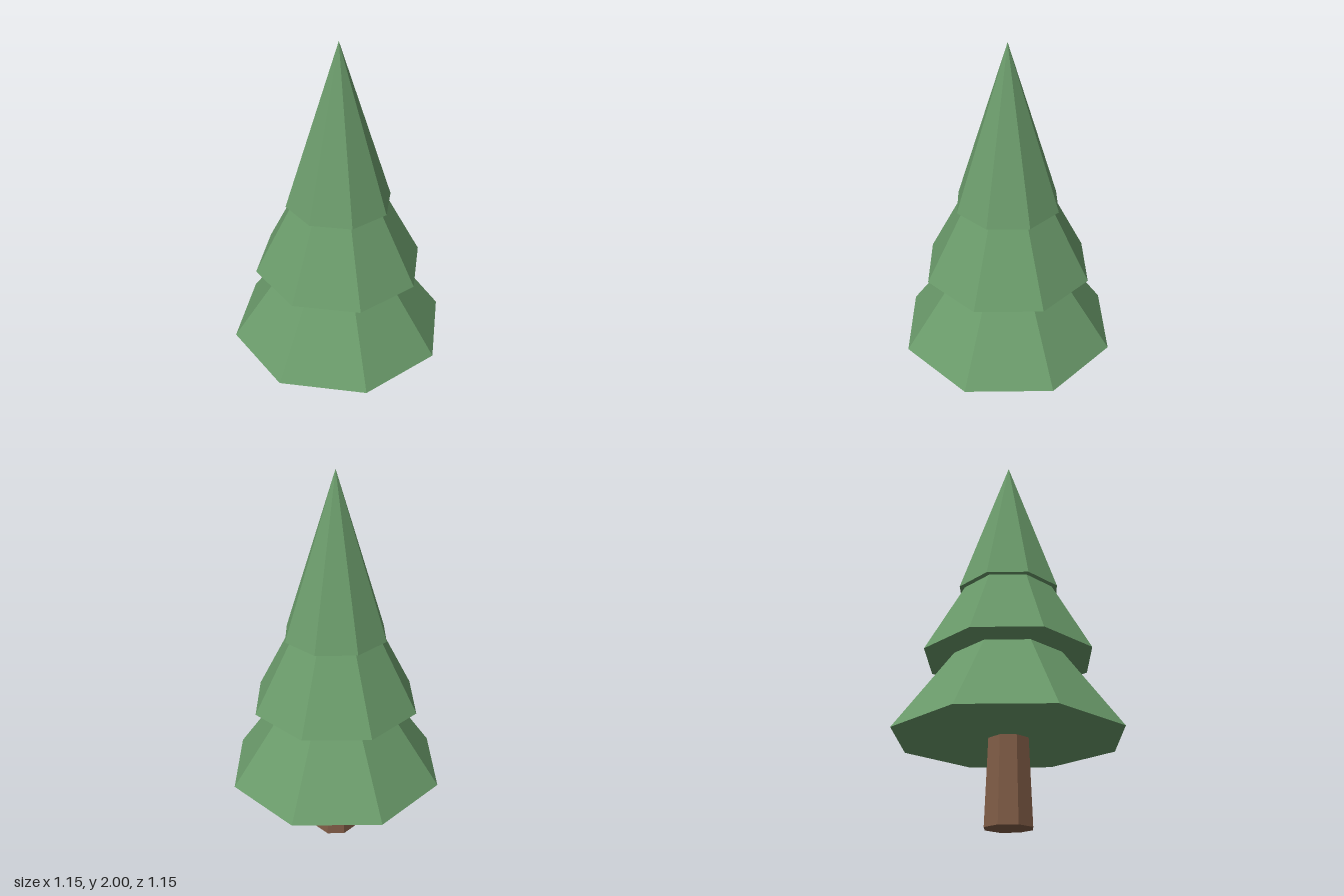
import * as THREE from 'three';

const SIDES = 8;

export function createModel() {
  const tree = new THREE.Group();
  tree.name = 'pineTree';

  const bark = new THREE.MeshStandardMaterial({ color: 0x805c46, flatShading: true });
  const needles = new THREE.MeshStandardMaterial({ color: 0x6a9a6a, flatShading: true });

  const add = (name, geometry, material, baseY) => {
    const mesh = new THREE.Mesh(geometry, material);
    mesh.name = name;
    mesh.position.y = baseY + geometry.parameters.height / 2;
    tree.add(mesh);
  };

  // Tapered trunk, its top hidden inside the lowest tier
  add('trunk', new THREE.CylinderGeometry(0.1, 0.12, 0.49, SIDES), bark, 0);

  // Overlapping foliage cones, from bottom to top
  const tiers = [
    { name: 'lowerFoliage', radius: 0.573, baseY: 0.413, height: 0.81 },
    { name: 'middleFoliage', radius: 0.437, baseY: 0.82, height: 0.82 },
    { name: 'topFoliage', radius: 0.268, baseY: 1.19, height: 0.81 },
  ];
  for (const { name, radius, baseY, height } of tiers) {
    add(name, new THREE.ConeGeometry(radius, height, SIDES), needles, baseY);
  }

  return tree;
}
